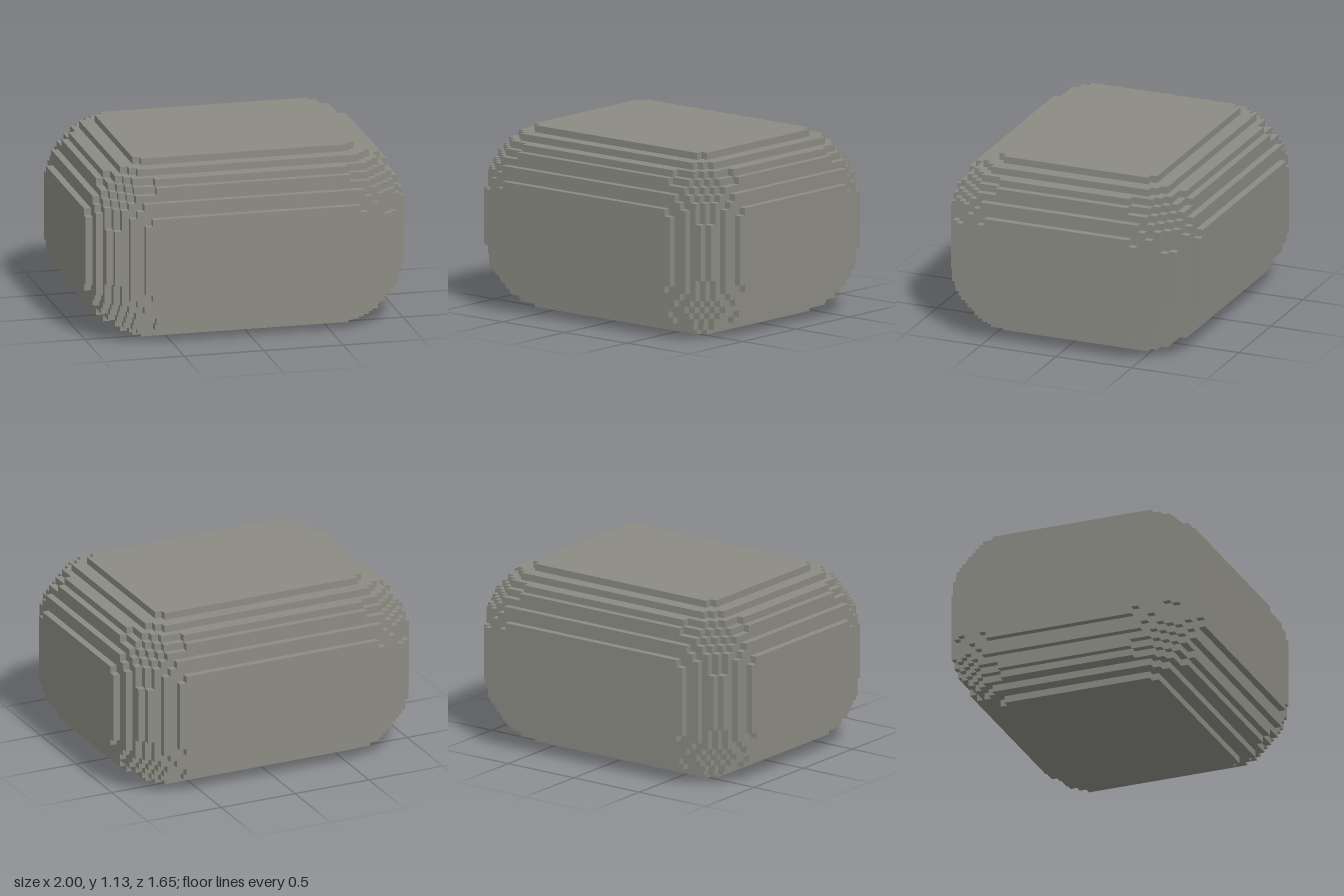
import * as THREE from 'three';

const CELLS = [46, 26, 38];   // block size in cells along x, y, z
const RADIUS = 10;            // edge rounding in cells
const UNIT = 2 / CELLS[0];

// How far a cell centre lies inside the rounded zone along one axis
function inset(axis, i) {
  const fromFace = Math.min(i, CELLS[axis] - 1 - i) + 0.5;
  return Math.max(0, RADIUS - fromFace);
}

// Depth of the first filled cell under cell (i, j) of a face, or -1 if the column is empty
function depthAt(d, u, v, i, j) {
  const side = inset(u, i) ** 2 + inset(v, j) ** 2;
  for (let k = 0; k < RADIUS + 1; k++) {
    if (side + inset(d, k) ** 2 <= RADIUS * RADIUS) return k;
  }
  return -1;
}

// Split a list into runs of equal neighbours: [start, end, value]
function runs(list) {
  const out = [];
  for (let start = 0, i = 1; i <= list.length; i++) {
    if (i === list.length || list[i] !== list[start]) {
      out.push([start, i, list[start]]);
      start = i;
    }
  }
  return out;
}

// All stepped faces that look along one axis direction
function steppedSide(d, sign) {
  const u = (d + 1) % 3, v = (d + 2) % 3;
  const positions = [], normals = [], index = [];
  const normal = [0, 0, 0];
  normal[d] = sign;

  const addCorner = (i, j, k) => {
    const p = [0, 0, 0];
    p[u] = i;
    p[v] = j;
    p[d] = sign > 0 ? CELLS[d] - k : k;
    positions.push((p[0] - CELLS[0] / 2) * UNIT, p[1] * UNIT, (p[2] - CELLS[2] / 2) * UNIT);
    normals.push(...normal);
  };

  // Equal neighbouring rows are merged, then equal depths within a row
  const rows = Array.from({ length: CELLS[v] }, (_, j) =>
    Array.from({ length: CELLS[u] }, (_, i) => depthAt(d, u, v, i, j)));
  for (const [j0, j1] of runs(rows.map((row) => row.join()))) {
    for (const [i0, i1, k] of runs(rows[j0])) {
      if (k < 0) continue;
      const n = positions.length / 3;
      addCorner(i0, j0, k);
      addCorner(i1, j0, k);
      addCorner(i1, j1, k);
      addCorner(i0, j1, k);
      if (sign > 0) index.push(n, n + 1, n + 2, n, n + 2, n + 3);
      else index.push(n, n + 2, n + 1, n, n + 3, n + 2);
    }
  }

  const geometry = new THREE.BufferGeometry();
  geometry.setAttribute('position', new THREE.Float32BufferAttribute(positions, 3));
  geometry.setAttribute('normal', new THREE.Float32BufferAttribute(normals, 3));
  geometry.setIndex(index);
  return geometry;
}

export function createModel() {
  const stone = new THREE.MeshStandardMaterial({ color: 0x8b8b83 });
  stone.name = 'stone grey';

  const block = new THREE.Group();
  block.name = 'roundedStoneBlock';
  const names = [['rightSide', 'leftSide'], ['bottom', 'top'], ['back', 'front']];
  names.forEach((pair, axis) => pair.forEach((name, end) => {
    const mesh = new THREE.Mesh(steppedSide(axis, end ? 1 : -1), stone);
    mesh.name = name;
    block.add(mesh);
  }));
  return block;
}
